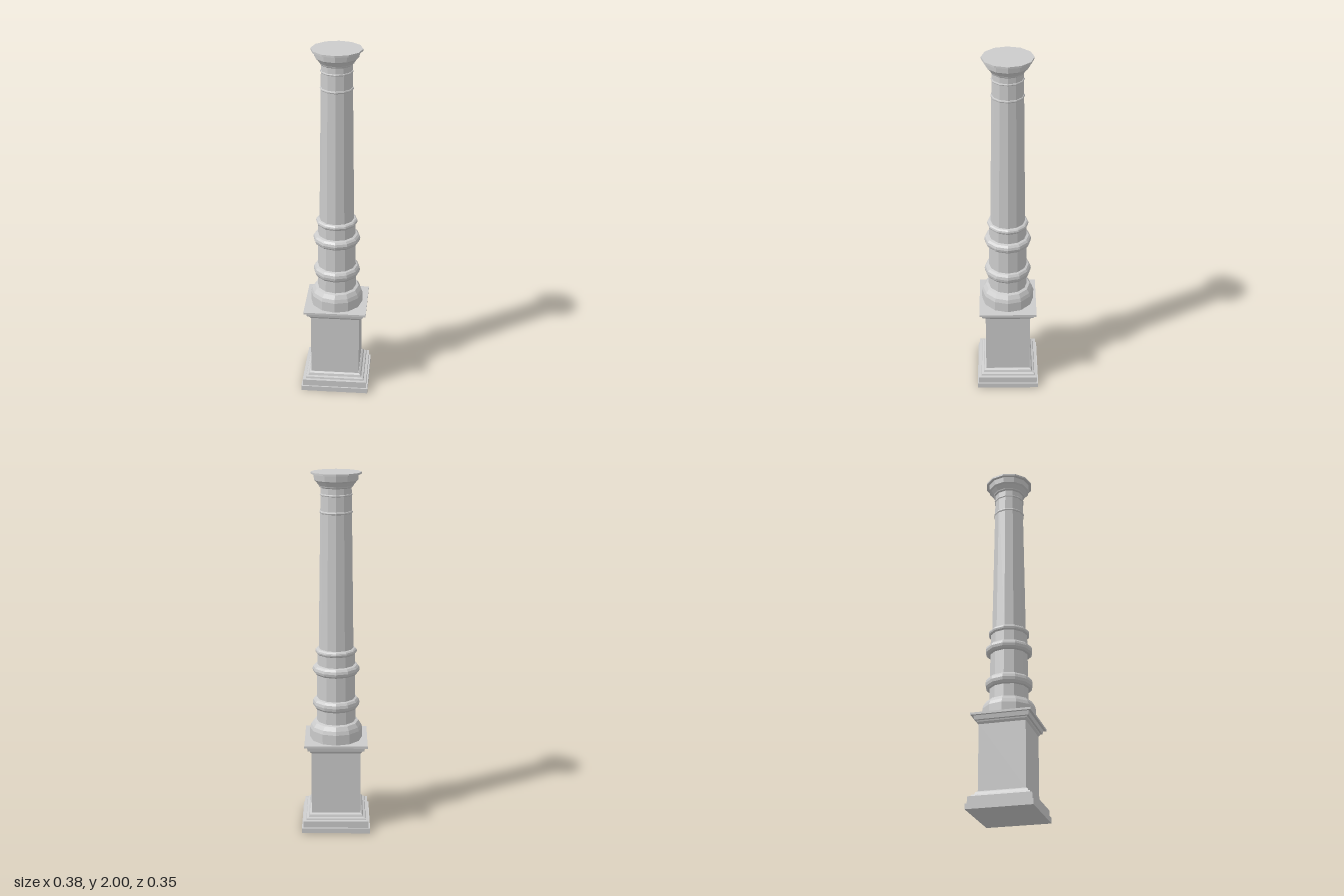
import * as THREE from 'three';

const material = new THREE.MeshStandardMaterial({ color: 0xcccccc, flatShading: true });

// Faceted solid from [radius, height] pairs running bottom to top, closed at both ends
function turned(name, profile, sides = 12) {
  const closed = [[0, profile[0][1]], ...profile, [0, profile[profile.length - 1][1]]];
  const geometry = new THREE.LatheGeometry(closed.map(([r, y]) => new THREE.Vector2(r, y)), sides);
  const mesh = new THREE.Mesh(geometry, material);
  mesh.name = name;
  return mesh;
}

// Rectangular moulding: half widths instead of radii, slightly shallower in z
function moulded(name, profile) {
  const mesh = turned(name, profile.map(([w, y]) => [w * Math.SQRT2, y]), 4);
  mesh.geometry.rotateY(Math.PI / 4).scale(1, 1, 0.924);
  return mesh;
}

// Rounded collar bulging from the inner to the outer radius
function collar(name, inner, outer, bottom, top, steps = 6) {
  const profile = [];
  for (let i = 0; i <= steps; i++) {
    const a = (i / steps - 0.5) * Math.PI;
    profile.push([inner + (outer - inner) * Math.cos(a), (bottom + top) / 2 + (top - bottom) / 2 * Math.sin(a)]);
  }
  return turned(name, profile);
}

export function createModel() {
  const column = new THREE.Group();
  column.name = 'column';

  // Square pedestal
  column.add(
    moulded('pedestalFoot', [
      [0.192, 0], [0.192, 0.03], [0.183, 0.03], [0.183, 0.068], [0.168, 0.07],
      [0.165, 0.08], [0.153, 0.084], [0.148, 0.097], [0.138, 0.104]]),
    moulded('pedestalBlock', [[0.137, 0.1], [0.137, 0.47]]),
    moulded('pedestalCap', [
      [0.137, 0.464], [0.145, 0.475], [0.147, 0.482], [0.157, 0.484],
      [0.161, 0.506], [0.175, 0.506], [0.175, 0.518]]),
  );

  // Lower drum with its bell-shaped foot
  column.add(
    turned('columnFoot', [
      [0.147, 0.517], [0.147, 0.575], [0.14, 0.595], [0.125, 0.617], [0.108, 0.622]]),
    turned('lowerDrum', [[0.109, 0.61], [0.103, 1.02]]),
    collar('lowerCollar', 0.106, 0.131, 0.692, 0.756),
    collar('middleCollar', 0.104, 0.131, 0.893, 0.949),
    collar('upperCollar', 0.096, 0.115, 1.008, 1.042),
  );

  // Tapering shaft with thin rings
  column.add(
    turned('shaft', [[0.096, 1.02], [0.082, 1.93]]),
    collar('lowerNeckRing', 0.082, 0.089, 1.782, 1.798, 4),
    collar('upperNeckRing', 0.081, 0.087, 1.876, 1.888, 4),
  );

  // Flared capital
  column.add(turned('capital', [
    [0.082, 1.918], [0.09, 1.924], [0.092, 1.93], [0.108, 1.951], [0.116, 1.958],
    [0.119, 1.988], [0.135, 1.99], [0.135, 2]]));

  return column;
}
